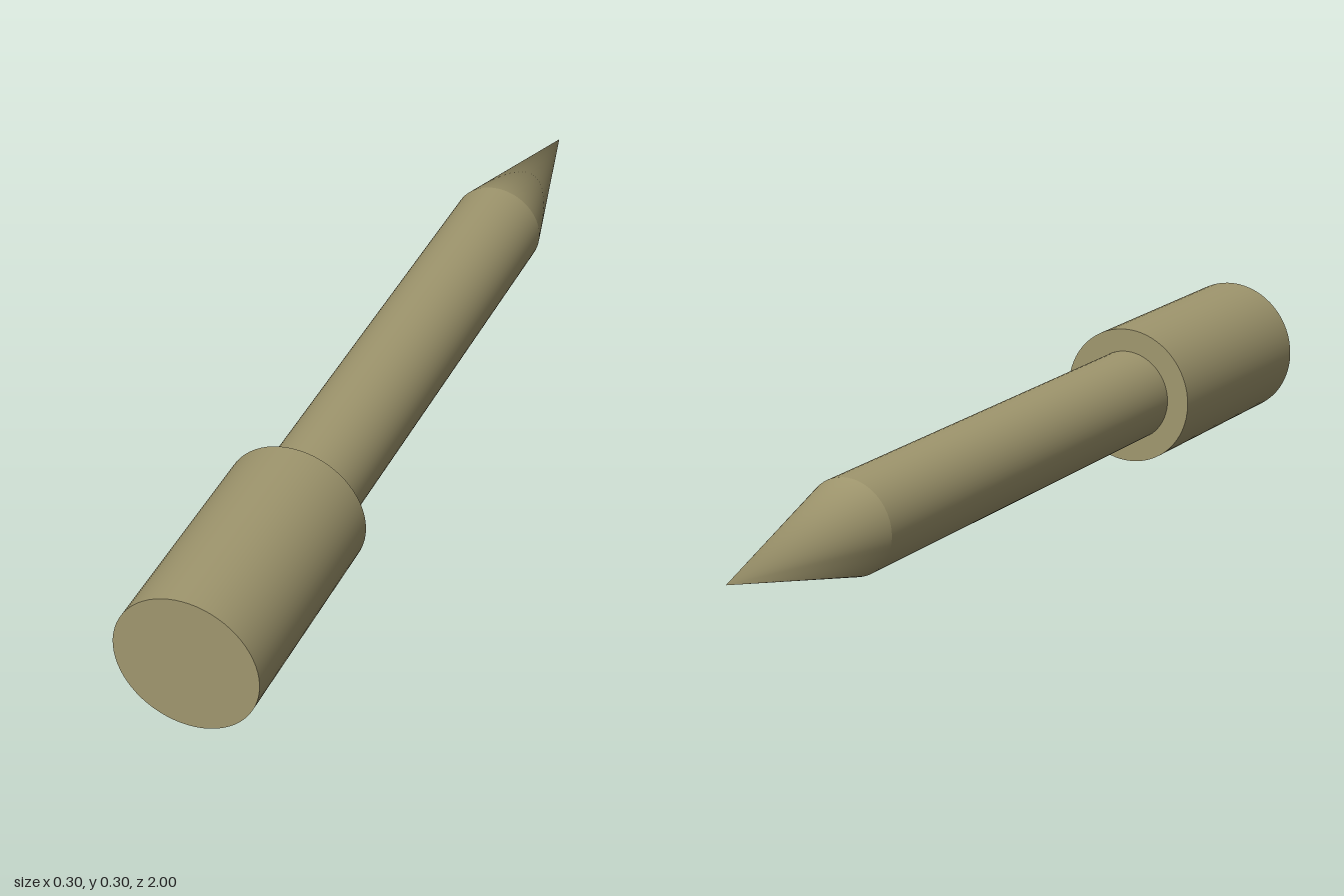
import * as THREE from 'three';
import { mergeVertices } from 'three/addons/utils/BufferGeometryUtils.js';

const SEGMENTS = 64;
const AXIS_HEIGHT = 0.15;

export function createModel() {
  const group = new THREE.Group();
  group.name = 'spike';
  const khaki = new THREE.MeshStandardMaterial({ color: 0xa0976e });
  khaki.name = 'khaki';

  // Lays a y-axis solid along z, its +y end pointing to the back
  const addPart = (name, geometry, z) => {
    geometry.rotateX(-Math.PI / 2);
    const mesh = new THREE.Mesh(geometry, khaki);
    mesh.name = name;
    mesh.position.set(0, AXIS_HEIGHT, z);
    group.add(mesh);
  };

  // Thick closed handle at the front
  addPart('handle', new THREE.CylinderGeometry(0.15, 0.15, 0.5, SEGMENTS), 0.75);

  // Slim shaft
  addPart('shaft', new THREE.CylinderGeometry(0.1, 0.1, 1.1, SEGMENTS), -0.05);

  // Pointed tip with one shared apex, shaded smoothly into the point
  let tip = new THREE.ConeGeometry(0.1, 0.4, SEGMENTS, 1, true);
  tip.deleteAttribute('uv');
  tip.deleteAttribute('normal');
  tip = mergeVertices(tip);
  tip.computeVertexNormals();
  addPart('tip', tip, -0.8);

  return group;
}
